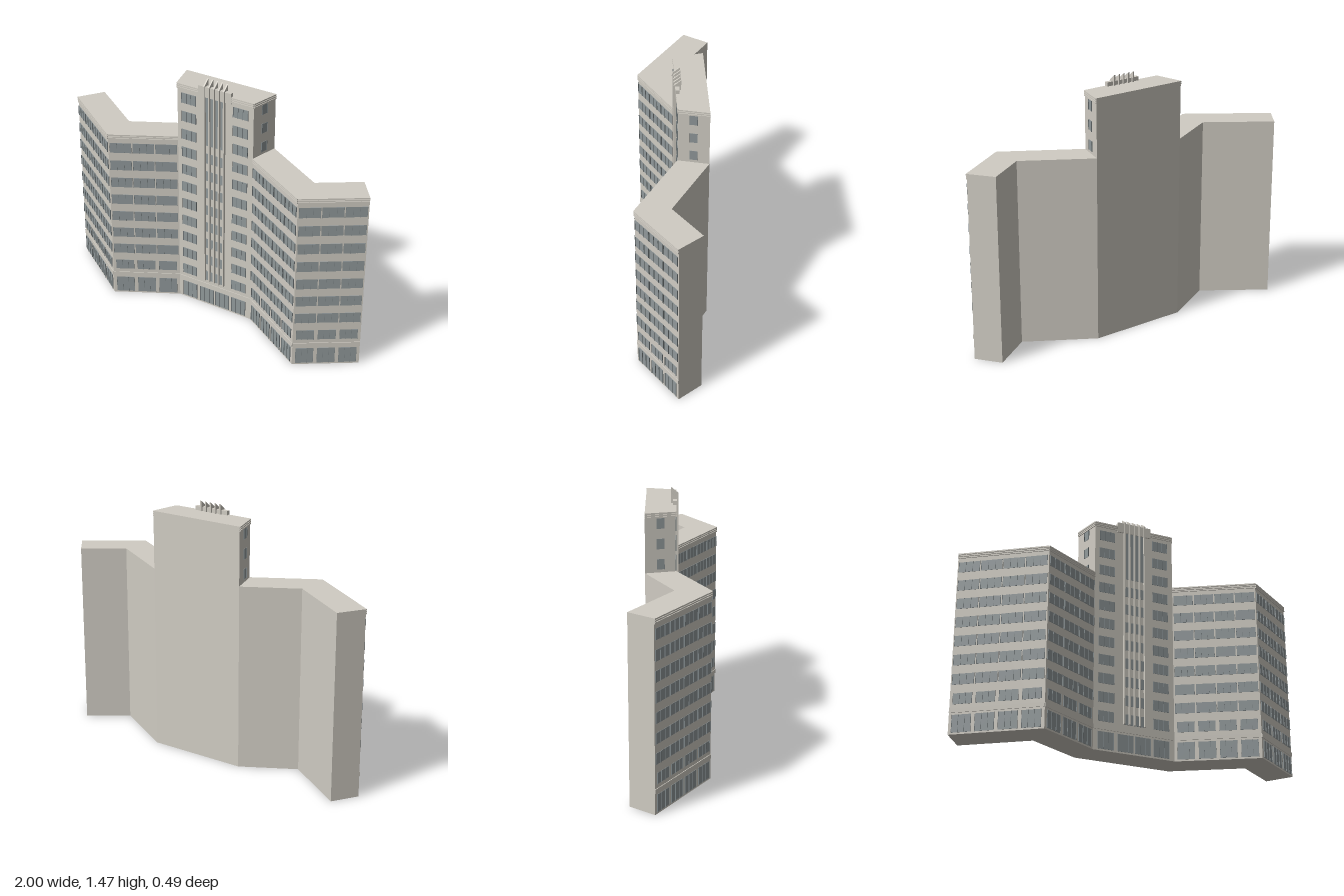
import * as THREE from 'three';
import { mergeGeometries } from 'three/addons/utils/BufferGeometryUtils.js';

const mat = (name, color) => new THREE.MeshStandardMaterial({ name, color });

// front corners (left to right) and back corners (right to left), as x, z
const FRONT = [[-1, -0.11], [-0.57, 0.185], [-0.22, -0.005], [0.27, -0.005], [0.687, 0.242], [0.998, 0.03]];
const BACK = [[0.9, -0.1], [0.68, 0.05], [0.31, -0.17], [-0.26, -0.17], [-0.56, -0.01], [-0.905, -0.245]];
const TOWER = [FRONT[2], FRONT[3], BACK[2], BACK[3]];
const ROOF = 1.075, TOP = 1.41, PITCH = 0.1125;
const floorY = (i) => 0.17 + i * PITCH; // sill of upper floor i
const WIN_H = 0.062;

function prism(points, y0, y1) {
  const shape = new THREE.Shape(points.map(([x, z]) => new THREE.Vector2(x, -z)));
  const g = new THREE.ExtrudeGeometry(shape, { depth: y1 - y0, bevelEnabled: false });
  return g.rotateX(-Math.PI / 2).translate(0, y0, 0);
}

// box given by its minimum and maximum corners
function block(x0, x1, y0, y1, z0, z1) {
  return new THREE.BoxGeometry(x1 - x0, y1 - y0, z1 - z0)
    .translate((x0 + x1) / 2, (y0 + y1) / 2, (z0 + z1) / 2);
}

export function createModel() {
  const stone = mat('stone', 0xd0ccc3);
  const glass = mat('glass', 0x90989a);
  const frame = mat('window frame', 0x7b8385);
  const model = new THREE.Group();

  const add = (parent, name, geometry, material) => {
    const mesh = new THREE.Mesh(geometry, material);
    mesh.name = name;
    parent.add(mesh);
  };

  // facade whose local x runs from a to b and whose local z points outward
  function facade(name, a, b, build) {
    const group = new THREE.Group();
    group.name = name;
    const dx = b[0] - a[0], dz = b[1] - a[1];
    group.position.set(a[0], 0, a[1]);
    group.rotation.y = -Math.atan2(dz, dx);
    const panes = [], bars = [], trims = [];
    const tools = {
      // glass plate with slender upright mullions
      window(x0, x1, y0, y1, lights = 3) {
        panes.push(block(x0, x1, y0, y1, -0.002, 0.002));
        for (let i = 0; i <= lights; i++) {
          const x = x0 + ((x1 - x0) * i) / lights;
          bars.push(block(x - 0.0004, x + 0.0004, y0, y1, 0, 0.006));
        }
      },
      trim: (x0, x1, y0, y1, depth) => trims.push(block(x0, x1, y0, y1, -0.002, depth)),
      // ribbed cornice below a roof edge
      cornice(length, top) {
        for (let i = 0; i < 3; i++) {
          tools.trim(0, length, top - 0.011 * i - 0.008, top - 0.011 * i, 0.005);
        }
      },
    };
    build(tools, Math.hypot(dx, dz));
    add(group, 'windowGlass', mergeGeometries(panes), glass);
    add(group, 'windowFrames', mergeGeometries(bars), frame);
    if (trims.length) add(group, 'stoneTrim', mergeGeometries(trims), stone);
    model.add(group);
  }

  add(model, 'mainBlock', prism([...FRONT, ...BACK], 0, ROOF), stone);
  add(model, 'towerBlock', prism(TOWER, ROOF, TOP), stone);

  // four wing facades: separate windows low down, near-continuous ribbons above
  const wing = (bays) => (f, length) => {
    const row = (y0, y1, gap, margin) => {
      const pitch = (length - 2 * margin + gap) / bays;
      for (let i = 0; i < bays; i++) {
        const x = margin + i * pitch;
        f.window(x, x + pitch - gap, y0, y1);
      }
    };
    row(0.01, 0.11, 0.022, 0.018);
    row(floorY(0), floorY(0) + WIN_H, 0.022, 0.018);
    for (let i = 1; i < 8; i++) row(floorY(i), floorY(i) + WIN_H, 0.008, 0.008);
    f.trim(0, length, 0.122, 0.146, 0.004);
    f.cornice(length, ROOF);
  };
  facade('leftmostWing', FRONT[0], FRONT[1], wing(4));
  facade('leftInnerWing', FRONT[1], FRONT[2], wing(3));
  facade('rightInnerWing', FRONT[3], FRONT[4], wing(4));
  facade('rightmostWing', FRONT[4], FRONT[5], wing(3));

  // tower front: side windows, shopfront and tall central glazing
  facade('towerFront', FRONT[2], FRONT[3], (f, length) => {
    for (const x of [0.028, 0.145, 0.25, 0.362]) f.window(x, x + 0.094, 0.01, 0.11);
    for (let i = 0; i < 11; i++) {
      const y = floorY(i);
      f.window(0.028, 0.122, y, y + WIN_H);
      f.window(0.362, 0.456, y, y + WIN_H);
      if (i < 8) f.window(0.18, 0.31, y, y + WIN_H, 4);
    }
    f.window(0.18, 0.31, floorY(8), 1.37, 4);
    f.trim(0, length, 0.122, 0.146, 0.004);
    f.cornice(length, TOP);
  });

  // tower sides: one window on each of the three top floors
  const side = (fromFront) => (f, length) => {
    const x = fromFront ? 0.062 : length - 0.104;
    for (let i = 0; i < 3; i++) f.window(x, x + 0.042, 1.092 + i * 0.114, 1.15 + i * 0.114, 1);
    f.cornice(length, TOP);
  };
  facade('towerLeftSide', FRONT[3], BACK[2], side(true));
  facade('towerRightSide', BACK[3], FRONT[2], side(false));

  // crown plate and the five tall fins with slanted tops
  add(model, 'crownPlate', block(-0.08, 0.13, 1.37, 1.433, -0.02, 0.003), stone);
  const finShape = new THREE.Shape([[-0.011, 0.17], [0.008, 0.17], [0.008, 1.385], [0.03, 1.385], [0.03, 1.47], [-0.011, 1.437]]
    .map(([x, y]) => new THREE.Vector2(x, y)));
  const finGeometry = new THREE.ExtrudeGeometry(finShape, { depth: 0.008, bevelEnabled: false })
    .rotateY(Math.PI / 2).translate(-0.004, 0, 0);
  for (let i = 0; i < 5; i++) add(model, 'fin', finGeometry.clone().translate(0.025 + (i - 2) * 0.0315, 0, 0), stone);
  return model;
}
